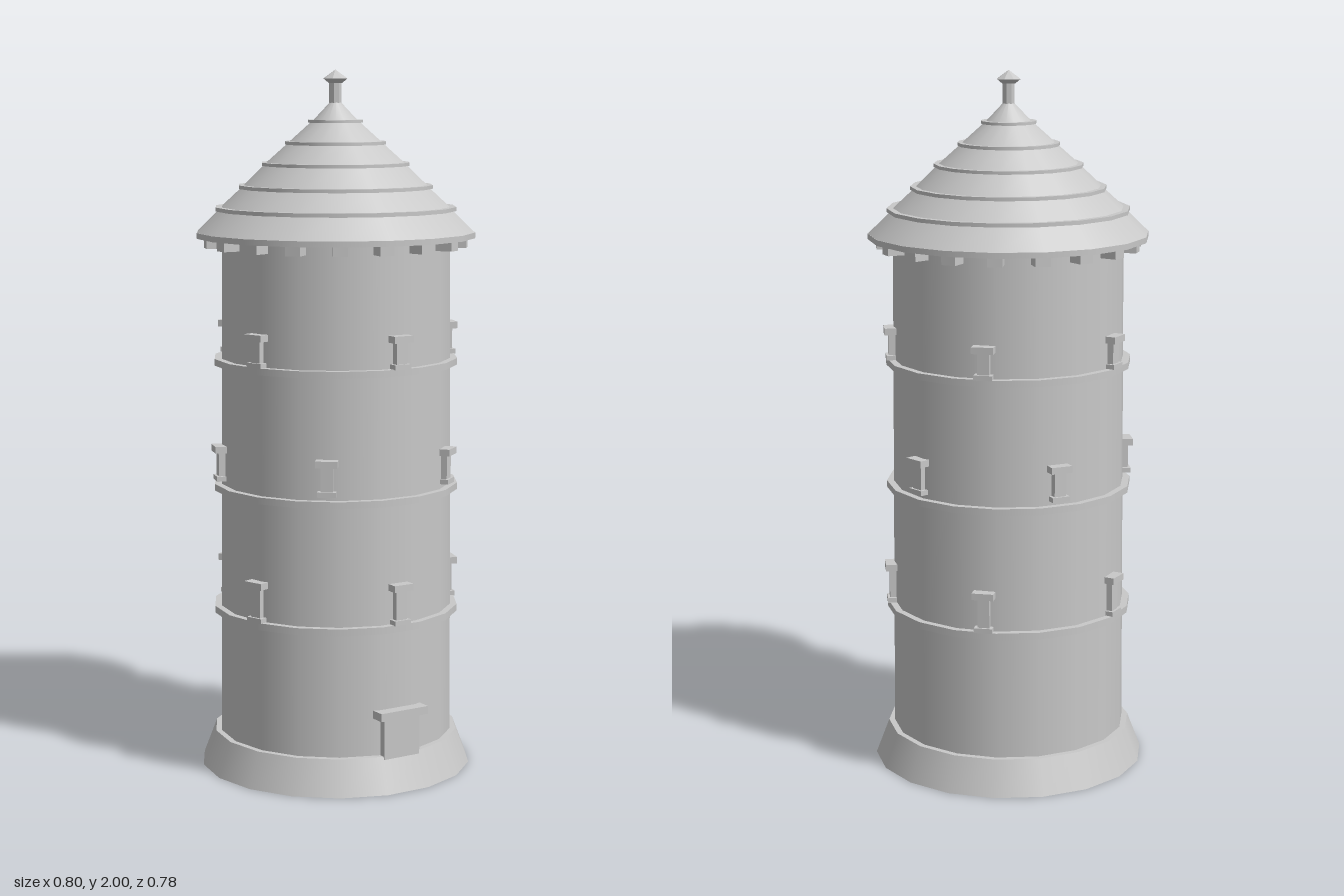
import * as THREE from 'three';

const SIDES = 18;
const TURN = Math.PI / SIDES; // puts a flat side at the front
const stone = new THREE.MeshStandardMaterial({ color: 0xc8c8c8 });
stone.name = 'pale grey stone';

export function createModel() {
  const tower = new THREE.Group();
  tower.name = 'roundTower';

  function add(parent, name, geometry) {
    const mesh = new THREE.Mesh(geometry, stone);
    mesh.name = name;
    parent.add(mesh);
    return mesh;
  }

  // Upright frustum between two heights
  function drum(name, rBottom, rTop, y0, y1, sides = SIDES, parent = tower) {
    let g = new THREE.CylinderGeometry(rTop, rBottom, y1 - y0, sides, 1, false, sides === SIDES ? TURN : 0);
    if (sides !== SIDES) {
      g = g.toNonIndexed();
      g.computeVertexNormals();
    }
    g.translate(0, (y0 + y1) / 2, 0);
    return add(parent, name, g);
  }

  // Block facing +z, spanning y0..y1 and z0..z1
  function block(parent, name, width, y0, y1, z0, z1) {
    const g = new THREE.BoxGeometry(width, y1 - y0, z1 - z0);
    g.translate(0, (y0 + y1) / 2, (z0 + z1) / 2);
    return add(parent, name, g);
  }

  // Walls and plinth
  drum('plinth', 0.392, 0.354, 0, 0.1);
  drum('wall', 0.337, 0.327, 0.09, 1.535);

  // String courses
  [[0.452, 0.472, 0.354], [0.81, 0.829, 0.352], [1.17, 1.189, 0.35]].forEach(([y0, y1, r]) =>
    drum('stringCourse', r, r, y0, y1));

  // Five windows per storey, staggered on the middle one
  const storeys = [
    { y0: 0.471, y1: 0.587, turn: 0, r: 0.36 },
    { y0: 0.842, y1: 0.943, turn: Math.PI / 5, r: 0.358 },
    { y0: 1.188, y1: 1.281, turn: 0, r: 0.356 },
  ];
  for (const { y0, y1, turn, r } of storeys) {
    for (let i = 0; i < 5; i++) {
      const win = new THREE.Group();
      win.name = 'window';
      block(win, 'windowSill', 0.052, y0, y0 + 0.014, 0.3, r - 0.005);
      block(win, 'windowPanel', 0.034, y0 + 0.01, y1 - 0.015, 0.3, r - 0.012);
      block(win, 'windowLintel', 0.062, y1 - 0.019, y1, 0.3, r);
      win.rotation.y = turn + i * Math.PI * 2 / 5;
      tower.add(win);
    }
  }

  // Door
  block(tower, 'door', 0.118, 0.086, 0.21, 0.3, 0.352);
  block(tower, 'doorLintel', 0.156, 0.207, 0.23, 0.3, 0.366);

  // Brackets under the eaves
  for (let i = 0; i < SIDES; i++) {
    const bracket = block(tower, 'eavesBracket', 0.042, 1.503, 1.535, 0.325, 0.374);
    bracket.rotation.y = TURN + i * 2 * TURN;
  }

  // Stepped roof: a thin rim and a cone for each tier
  const tiers = [
    [0.398, 1.53, 1.546, 0.397],
    [0.344, 1.606, 1.617, 0.326],
    [0.277, 1.668, 1.678, 0.261],
    [0.211, 1.732, 1.741, 0.196],
    [0.144, 1.791, 1.8, 0.13],
    [0.078, 1.852, 1.86, 0.062],
  ];
  tiers.forEach(([r, y0, y1, coneR], i) => {
    drum('roofRim', r, r, y0, y1);
    const next = tiers[i + 1];
    if (next) drum('roofTier', coneR, next[3] + 0.005, y1, next[1] + 0.004);
    else drum('roofTip', coneR, 0.008, y1, 1.917);
  });

  // Finial
  drum('finialPost', 0.018, 0.018, 1.9, 1.966, 8);
  drum('finialCapBase', 0.02, 0.035, 1.963, 1.975, 8);
  drum('finialCap', 0.035, 0, 1.975, 2, 8);

  return tower;
}
